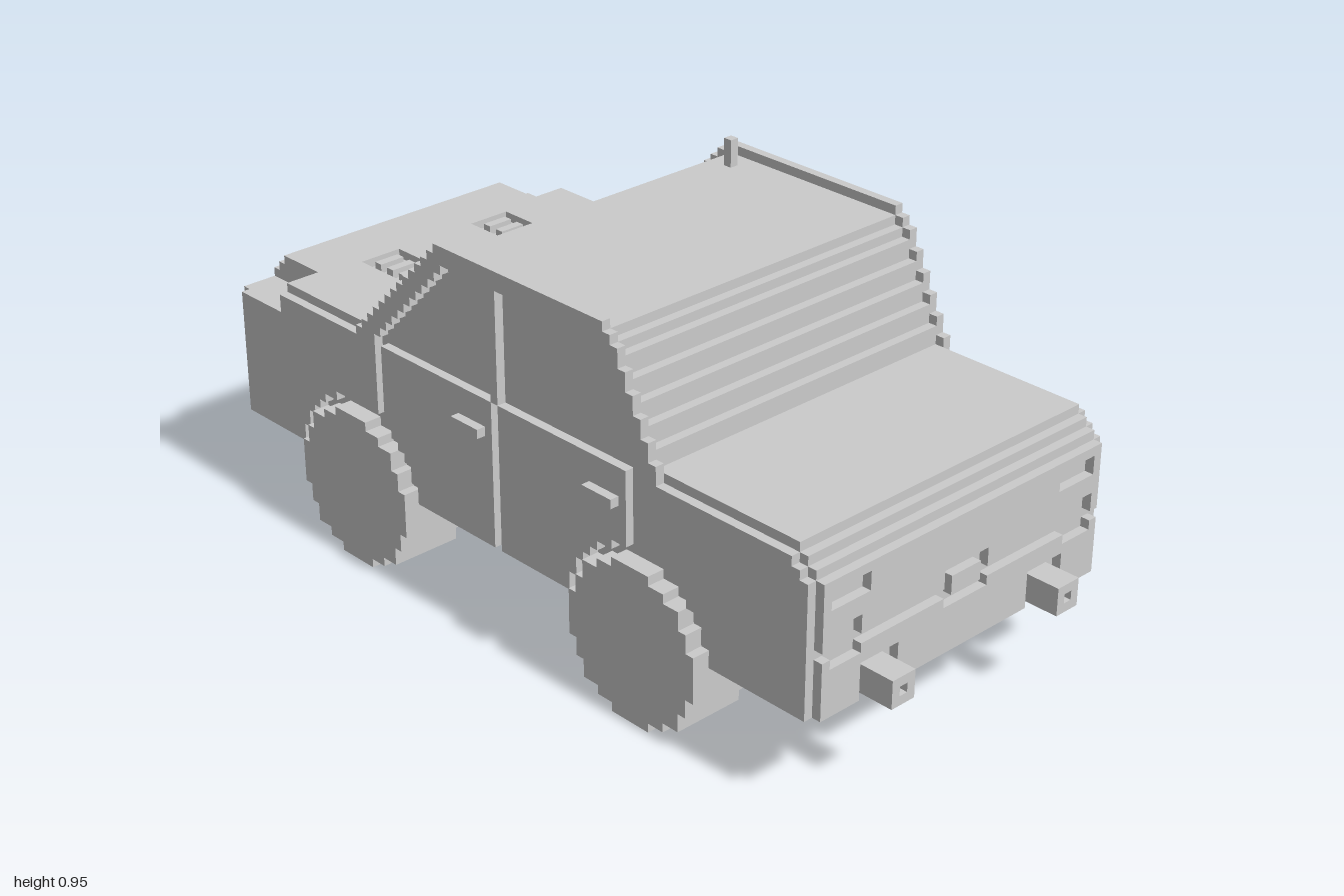
import * as THREE from 'three';

// All dimensions are in whole blocks; the group is scaled to size at the end.
const BLOCK = 2 / 88;
const material = new THREE.MeshStandardMaterial({ color: 0xcccccc, flatShading: true });

export function createModel() {
  const model = new THREE.Group();

  const add = (name, geometry) => {
    const mesh = new THREE.Mesh(geometry, material);
    mesh.name = name;
    model.add(mesh);
    return mesh;
  };

  const box = (name, x0, x1, y0, y1, z0, z1) => {
    const g = new THREE.BoxGeometry(x1 - x0, y1 - y0, z1 - z0);
    g.translate((x0 + x1) / 2, (y0 + y1) / 2, (z0 + z1) / 2);
    return add(name, g);
  };

  const toPoints = (pts) => pts.map(([a, b]) => new THREE.Vector2(a, b));
  const rect = (a0, a1, b0, b1) => [[a0, b0], [a1, b0], [a1, b1], [a0, b1]];
  const mirrored = (half) => [...half, ...half.map(([x, y]) => [-x, y]).reverse()];

  const extrude = (pts, depth, holes = []) => {
    const shape = new THREE.Shape(toPoints(pts));
    holes.forEach((h) => shape.holes.push(new THREE.Path(toPoints(h))));
    return new THREE.ExtrudeGeometry(shape, { depth, bevelEnabled: false });
  };

  // Outline in (z, y), thickened from x0 to x1
  const sideSlab = (name, pts, x0, x1) =>
    add(name, extrude(pts, x1 - x0).rotateY(-Math.PI / 2).translate(x1, 0, 0));

  // Outline in (x, y), thickened from z0 to z1
  const endSlab = (name, pts, z0, z1, holes) =>
    add(name, extrude(pts, z1 - z0, holes).translate(0, 0, z0));

  // Staircase from (z, y): n steps, each moving dy first and then dz
  const stair = (z, y, dz, dy, n) => {
    const pts = [[z, y]];
    for (let i = 0; i < n; i++) {
      y += dy;
      pts.push([z, y]);
      z += dz;
      pts.push([z, y]);
    }
    return pts;
  };

  // One side of a block circle around the axle, rows from..to, upward
  const AXLE = 8.5;
  const arc = (c, r, side, from, to) => {
    const pts = [];
    for (let j = from; j <= to; j++) {
      const half = Math.floor(Math.sqrt((r + 0.5) ** 2 - j * j)) + 0.5;
      pts.push([c + side * half, AXLE + j - 0.5], [c + side * half, AXLE + j + 0.5]);
    }
    return pts;
  };
  const axles = [18.5, -23.5];
  const [axleA, axleB] = axles;

  // Inner body: deck, sloping glass, roof and bonnet base
  sideSlab('bodyCore', [
    [40, 10], [40, 25], [39, 25], [39, 26], [38, 26], [38, 27],
    ...stair(20, 27, -1, 2, 5), [15, 37], [15, 38], [14, 38], [14, 39],
    ...stair(-9, 39, -1, -1, 12), [-21, 26],
    [-36, 26], [-36, 24], [-43, 24], [-43, 10],
  ], -19, 19);

  // Outer side shell: window frames, wheel arches, door gaps
  const frame = [
    [40, 10], [40, 24], [39, 24], [39, 25], [38, 25], [38, 26],
    ...stair(21, 26, -1, 2, 6), [15, 39], [14, 39], [14, 40],
    ...stair(-10, 40, -1, -1, 13), [-23, 26],
    [-36, 26], [-36, 24], [-43, 24], [-43, 10],
    ...arc(axleB, 9, -1, 2, 9), [-20, 18],
    ...stair(-20, 26, 1, 1, 12),
    [-2, 38], [-2, 26], [-1, 26], [-1, 38],
    ...stair(13, 38, 1, -2, 5), [18, 18],
    ...arc(axleA, 9, 1, 2, 9).reverse(),
  ];
  const doorA = [[-1, 10], [-1, 26], [17, 26], [17, 18], ...arc(axleA, 9, -1, 2, 9).reverse()];
  const doorB = [[-2, 10], [-2, 26], [-19, 26], [-19, 17], ...arc(axleB, 9, 1, 2, 8).reverse()];
  const wheel = [...arc(0, 8, 1, -8, 8), ...arc(0, 8, -1, -8, 8).reverse()];

  for (const s of [1, -1]) {
    const span = (a, b) => (s > 0 ? [a, b] : [-b, -a]);
    sideSlab('sideFrame', frame, ...span(19, 20));
    sideSlab('door', doorA, ...span(19, 20));
    sideSlab('door', doorB, ...span(19, 20));
    box('doorHandle', ...span(20, 21), 22, 23, 12, 16);
    box('doorHandle', ...span(20, 21), 22, 23, -7, -3);
    for (const c of axles) sideSlab('wheel', wheel, ...span(13, 21)).position.z = c;

    // Exhaust with a small bore
    endSlab('exhaustPipe', rect(...span(10, 13), 10, 13), 40, 44, [rect(...span(11, 12), 11, 12)]);

    // Bonnet vent bars
    for (let z = -34; z <= -28; z += 2) box('bonnetVentBar', ...span(6, 9), 26, 27, z, z + 1);

    // Grille bars
    for (const x of [1, 6, 11]) {
      for (let y = 15; y <= 21; y += 2) box('grilleBar', ...span(x, x + 3), y, y + 1, -44, -43);
    }
  }

  // Bonnet skin with vent openings and lowered outer corners (y here is -z)
  const bonnet = mirrored([[19, 21], [19, 36], [15, 36], [15, 42]]);
  add('bonnet', extrude(bonnet, 1, [rect(5, 10, 26, 35), rect(-10, -5, 26, 35)])
    .rotateX(-Math.PI / 2).translate(0, 26, 0));
  box('bonnetNose', -15, 15, 24, 26, -43, -36);

  // Grille panel with slots, lamp recesses and a bumper seam
  const grilleHoles = [rect(-18, 18, 12, 13)];
  for (const x of [1, 6, 11]) grilleHoles.push(rect(x, x + 3, 14, 23), rect(-x - 3, -x, 14, 23));
  grilleHoles.push(rect(16, 18, 15, 19), rect(-18, -16, 15, 19));
  endSlab('grillePanel', mirrored([[19, 10], [19, 24], [15, 24], [15, 25]]), -44, -43, grilleHoles);

  // Opposite end panel, split by a seam that widens into lamp and plate recesses
  endSlab('tailPanelUpper', mirrored([
    [3, 19], [3, 17], [14, 17], [14, 19], [18, 19], [18, 17], [19, 17], [19, 24],
  ]), 40, 41, [rect(13, 18, 21, 23), rect(-18, -13, 21, 23)]);
  endSlab('tailPanelLower', mirrored([
    [9, 10], [9, 14], [14, 14], [14, 10], [19, 10], [19, 16],
    [18, 16], [18, 15], [14, 15], [14, 16], [3, 16], [3, 15],
  ]), 40, 41);
  box('numberPlate', -2, 2, 16, 18, 40, 41);

  box('antenna', 16, 17, 39, 42, -7, -6);

  model.scale.setScalar(BLOCK);
  return model;
}
